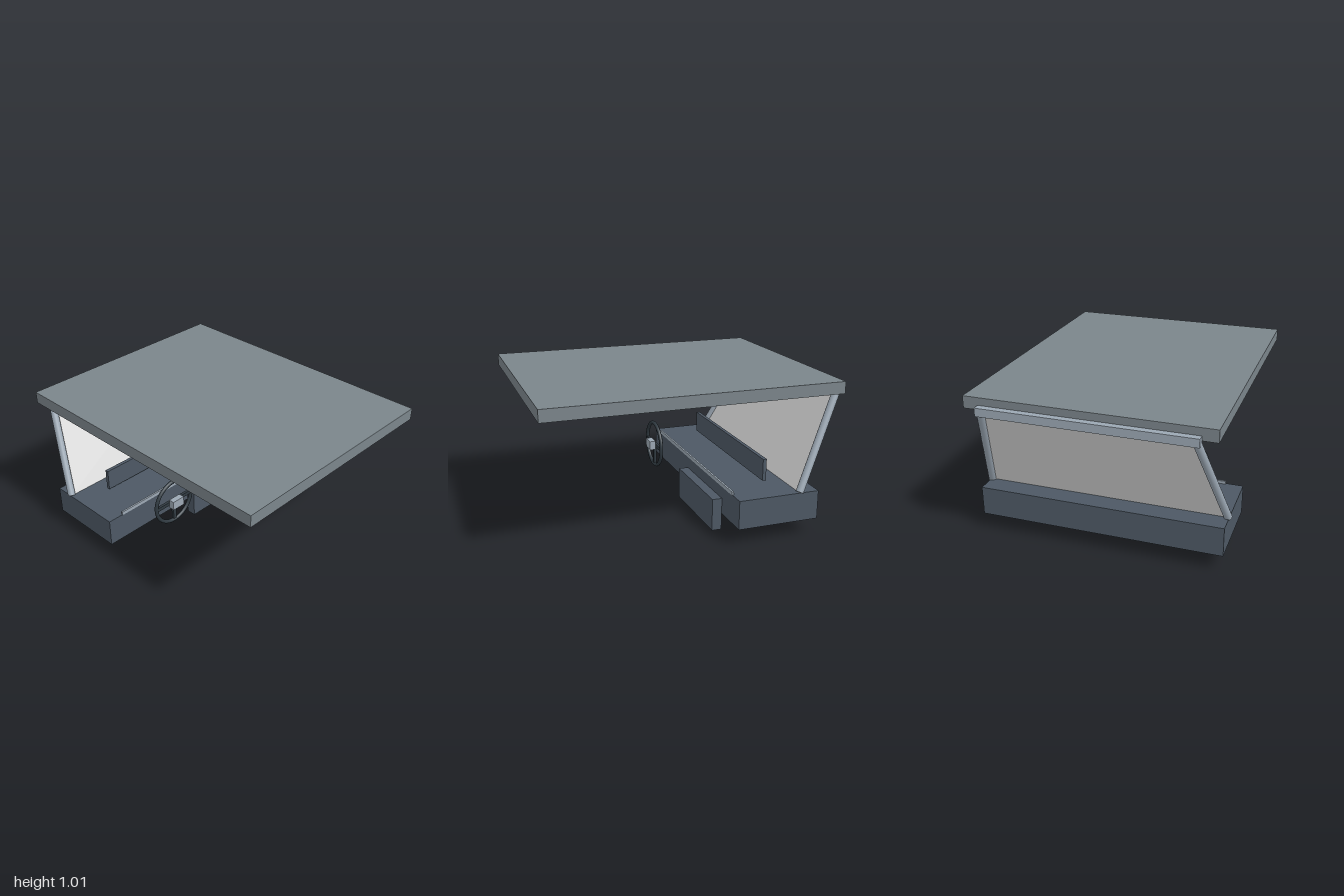
import * as THREE from 'three';

const mat = (name, color, extra = {}) => {
  const m = new THREE.MeshStandardMaterial({ color, ...extra });
  m.name = name;
  return m;
};

export function createModel() {
  const root = new THREE.Group();
  root.name = 'cabFront';
  const slate = mat('slate', 0x4d5864);
  const roofGrey = mat('roofGrey', 0x7b858b);
  const steel = mat('steel', 0x9ca8b4);
  const rubber = mat('rubber', 0x303a41);
  const pane = mat('paleGlass', 0xdcdcdc, { side: THREE.DoubleSide });

  const add = (name, geometry, material, parent = root) => {
    const m = new THREE.Mesh(geometry, material);
    m.name = name;
    parent.add(m);
    return m;
  };
  // Box given by its extents on each axis
  const box = (name, [x0, x1], [y0, y1], [z0, z1], material, parent) => {
    const m = add(name, new THREE.BoxGeometry(x1 - x0, y1 - y0, z1 - z0), material, parent);
    m.position.set((x0 + x1) / 2, (y0 + y1) / 2, (z0 + z1) / 2);
    return m;
  };

  box('roof', [-0.788, 0.788], [0.935, 1.015], [-0.955, 1], roofGrey);
  box('windshieldHeader', [-0.69, 0.69], [0.91, 0.965], [-1, -0.955], steel);
  box('dashboard', [-0.81, 0.81], [0.11, 0.305], [-0.795, -0.235], slate);
  box('dashTrim', [-0.695, 0.695], [0.3, 0.325], [-0.247, -0.234], steel);
  box('instrumentPanel', [-0.59, 0.59], [0.33, 0.48], [-0.525, -0.5], slate);
  box('gloveBox', [-0.085, 0.542], [0, 0.222], [-0.232, -0.165], slate);

  // Raked pillars, leaning inward and away
  for (const s of [-1, 1]) {
    const low = new THREE.Vector3(s * 0.803, 0.308, -0.66);
    const high = new THREE.Vector3(s * 0.664, 0.935, -0.972);
    const dir = high.clone().sub(low);
    const pillar = add(s > 0 ? 'leftPillar' : 'rightPillar',
      new THREE.CylinderGeometry(0.026, 0.026, dir.length(), 14), steel);
    pillar.position.copy(low).add(high).multiplyScalar(0.5);
    pillar.quaternion.setFromUnitVectors(new THREE.Vector3(0, 1, 0), dir.normalize());
  }

  // Windshield spanning the pillars
  const glass = new THREE.BufferGeometry();
  glass.setAttribute('position', new THREE.Float32BufferAttribute([
    -0.8, 0.305, -0.659, 0.8, 0.305, -0.659, 0.667, 0.925, -0.967, -0.667, 0.925, -0.967], 3));
  glass.setIndex([0, 1, 2, 0, 2, 3]);
  glass.computeVertexNormals();
  add('windshield', glass, pane);

  // Steering wheel
  const wheel = new THREE.Group();
  wheel.name = 'steeringWheel';
  wheel.position.set(-0.37, 0.335, -0.07);
  root.add(wheel);
  add('wheelRim', new THREE.TorusGeometry(0.161, 0.0135, 10, 36), rubber, wheel);
  box('crossSpoke', [-0.16, 0.16], [-0.013, 0.013], [-0.012, 0.008], rubber, wheel);
  box('lowerSpoke', [-0.013, 0.013], [-0.16, 0], [-0.012, 0.008], rubber, wheel);
  box('wheelHub', [-0.048, 0.048], [-0.032, 0.033], [0.006, 0.049], steel, wheel);

  return root;
}
